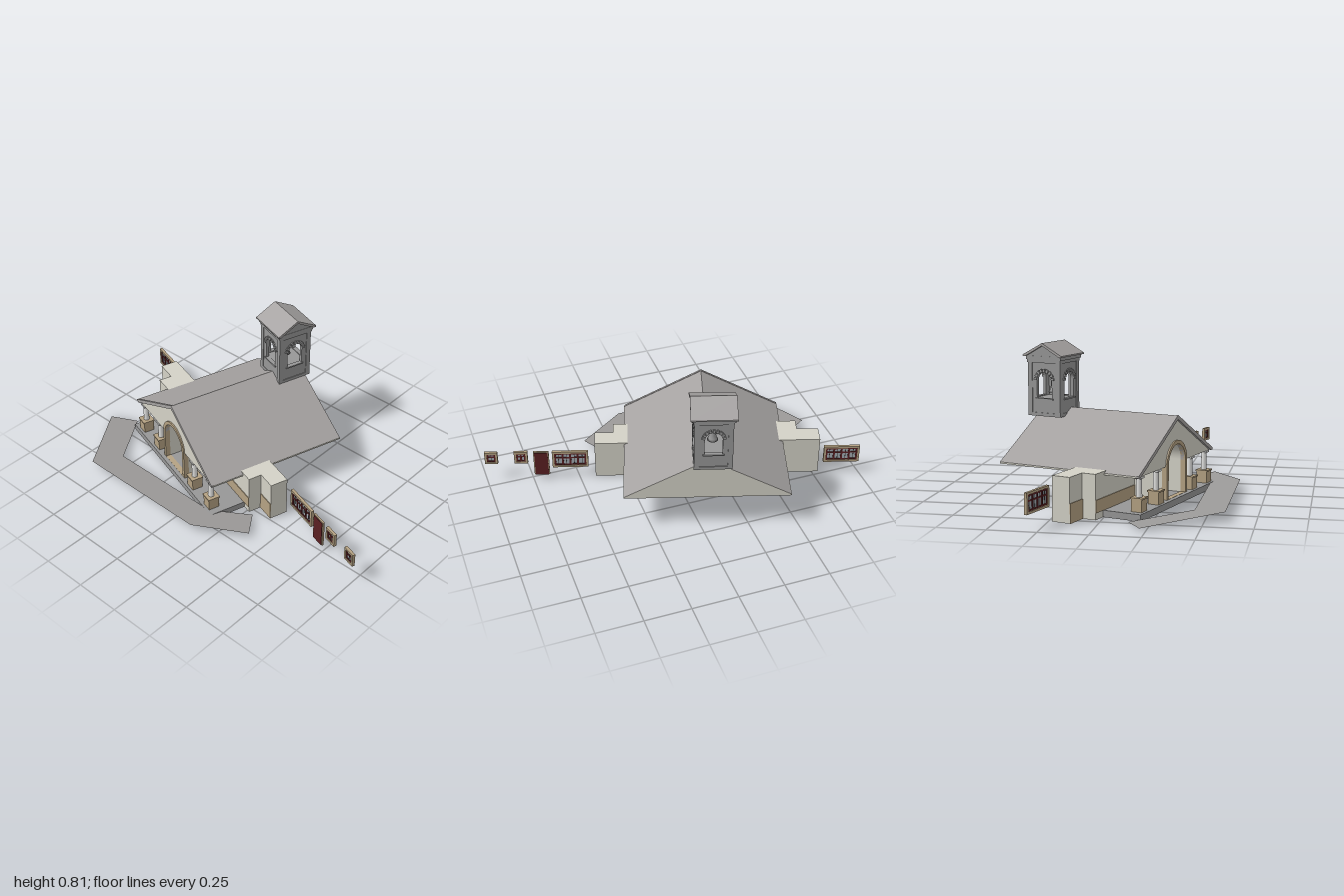
import * as THREE from 'three';

const mat = (name, color, side = THREE.FrontSide) => {
  const m = new THREE.MeshStandardMaterial({ color, side });
  m.name = name;
  return m;
};

export function createModel() {
  const cream = mat('cream plaster', 0xd4d2c7);
  const roofGrey = mat('roof grey', 0xa5a2a1);
  const stone = mat('tower stone', 0x979797);
  const paving = mat('paving grey', 0x9c9a99, THREE.DoubleSide);
  const tan = mat('tan trim', 0xb5a283);
  const white = mat('column white', 0xe4e4e2);
  const maroon = mat('maroon wood', 0x5a2022);
  const glass = mat('window glass', 0xa4acb4);
  const iron = mat('dark iron', 0x3a3836);

  const model = new THREE.Group();
  model.name = 'church';
  // The whole building is turned on the site: local x is depth, local z is width
  const site = new THREE.Group();
  site.name = 'building';
  site.rotation.y = -0.302;
  site.position.set(0.08, 0, -0.15);
  model.add(site);

  const add = (parent, name, geo, material, x = 0, y = 0, z = 0) => {
    const m = new THREE.Mesh(geo, material);
    m.name = name;
    m.position.set(x, y, z);
    parent.add(m);
    return m;
  };
  // Box given by its limits
  const block = (parent, name, material, x0, x1, y0, y1, z0, z1) =>
    add(parent, name, new THREE.BoxGeometry(x1 - x0, y1 - y0, z1 - z0), material,
      (x0 + x1) / 2, (y0 + y1) / 2, (z0 + z1) / 2);
  const poly = pts => new THREE.Shape(pts.map(p => new THREE.Vector2(...p)));
  const extrude = (shape, depth) =>
    new THREE.ExtrudeGeometry(shape, { depth, bevelEnabled: false, curveSegments: 16 });
  // Round-headed opening outline
  const arch = (P, r, base, spring) => {
    const p = new P();
    p.moveTo(-r, base);
    p.lineTo(r, base);
    p.lineTo(r, spring);
    p.absarc(0, spring, r, 0, Math.PI, false);
    p.lineTo(-r, base);
    return p;
  };

  // Wings and main wall
  block(site, 'mainWall', cream, -0.145, -0.045, 0, 0.23, -0.65, 0.605);
  block(site, 'frontWall', cream, -0.22, -0.145, 0, 0.23, -0.53, 0.503);
  block(site, 'frontWainscot', tan, -0.224, -0.22, 0.035, 0.1, -0.53, 0.503);
  block(site, 'wingWainscotNorth', tan, -0.149, -0.145, 0, 0.1, -0.65, -0.53);
  block(site, 'wingWainscotSouth', tan, -0.149, -0.145, 0, 0.1, 0.503, 0.605);

  // Main roof: solid gable behind, vaulted gable over the porch
  const solid = poly([[-0.44, 0.21], [0.44, 0.21], [0.44, 0.219], [0, 0.46], [-0.44, 0.219]]);
  const vaulted = new THREE.Shape();
  vaulted.moveTo(-0.44, 0.21);
  vaulted.lineTo(-0.1, 0.21);
  vaulted.absarc(0, 0.21, 0.1, Math.PI, 0, true);
  vaulted.lineTo(0.44, 0.21);
  vaulted.lineTo(0.44, 0.219);
  vaulted.lineTo(0, 0.46);
  vaulted.lineTo(-0.44, 0.219);
  vaulted.closePath();
  add(site, 'mainRoof', extrude(solid, 0.62).rotateY(Math.PI / 2), [cream, roofGrey], -0.22);
  add(site, 'porchRoof', extrude(vaulted, 0.18).rotateY(Math.PI / 2), [cream, roofGrey], -0.4);
  for (const s of [-1, 1])
    block(site, 'eaveFascia', cream, -0.4, 0.4, 0.21, 0.219, s * 0.441 - 0.001, s * 0.441 + 0.001);

  // Verge boards on the porch gable
  const verge = poly([[-0.44, 0.21], [-0.42, 0.21], [0, 0.44], [0.42, 0.21], [0.44, 0.21],
    [0.44, 0.221], [0, 0.463], [-0.44, 0.221]]);
  add(site, 'porchVerge', extrude(verge, 0.012).rotateY(Math.PI / 2), roofGrey, -0.412);

  // Entrance arch with side walls and door
  const trim = arch(THREE.Shape, 0.12, 0.036, 0.21);
  trim.holes.push(arch(THREE.Path, 0.1, 0.037, 0.21));
  add(site, 'archTrim', extrude(trim, 0.03).rotateY(Math.PI / 2), tan, -0.408);
  for (const s of [-1, 1])
    block(site, 'entranceWall', cream, -0.38, -0.22, 0.035, 0.21, s * 0.11 - 0.01, s * 0.11 + 0.01);
  const vault = new THREE.CylinderGeometry(0.099, 0.099, 0.16, 24, 1, true, 0, Math.PI);
  const lining = cream.clone();
  lining.side = THREE.DoubleSide;
  add(site, 'vaultLining', vault.rotateZ(Math.PI / 2), lining, -0.3, 0.21, 0);
  block(site, 'doorFrame', tan, -0.228, -0.222, 0.035, 0.2, -0.06, 0.06);
  block(site, 'entranceDoor', maroon, -0.232, -0.228, 0.035, 0.19, -0.05, 0.05);

  // Porch floor, pedestals and columns
  block(site, 'porchFloor', stone, -0.43, -0.2, 0, 0.035, -0.455, 0.455);
  for (const z of [-0.385, -0.2, 0.2, 0.385]) {
    block(site, 'pedestal', tan, -0.415, -0.355, 0.035, 0.1, z - 0.03, z + 0.03);
    block(site, 'pedestalCap', tan, -0.419, -0.351, 0.098, 0.106, z - 0.034, z + 0.034);
    add(site, 'column', new THREE.CylinderGeometry(0.014, 0.016, 0.096, 16), white, -0.385, 0.154, z);
    block(site, 'columnCapital', white, -0.405, -0.365, 0.2, 0.21, z - 0.02, z + 0.02);
  }

  // Bell tower
  const tower = new THREE.Group();
  tower.name = 'bellTower';
  tower.position.set(0.326, 0, -0.022);
  site.add(tower);
  const H = 0.096;
  const wall = poly([[-H, 0.42], [H, 0.42], [H, 0.72], [-H, 0.72]]);
  wall.holes.push(arch(THREE.Path, 0.046, 0.515, 0.61));
  for (let i = 0; i < 4; i++) {
    const face = new THREE.Group();
    face.name = 'towerFace';
    face.rotation.y = i * Math.PI / 2;
    tower.add(face);
    add(face, 'towerWall', extrude(wall, 0.018), stone, 0, 0, H - 0.018);
    for (const s of [-1, 1])
      block(face, 'pilaster', stone, s * 0.087 - 0.013, s * 0.087 + 0.013, 0.42, 0.705, H - 0.002, H + 0.004);
    block(face, 'sill', stone, -0.055, 0.055, 0.507, 0.515, H - 0.01, H + 0.006);
    // Arch stones
    for (let k = 0; k < 9; k++) {
      const a = Math.PI * (k + 0.5) / 9;
      const v = add(face, 'archStone', new THREE.BoxGeometry(0.018, 0.014, 0.012), stone,
        Math.cos(a) * 0.054, 0.61 + Math.sin(a) * 0.054, H + 0.001);
      v.rotation.z = a;
    }
  }
  block(tower, 'towerBase', stone, -0.1, 0.1, 0.418, 0.436, -0.1, 0.1);
  block(tower, 'towerFloor', stone, -0.09, 0.09, 0.49, 0.51, -0.09, 0.09);
  block(tower, 'lowerCornice', stone, -0.103, 0.103, 0.705, 0.722, -0.103, 0.103);
  block(tower, 'upperCornice', stone, -0.108, 0.108, 0.722, 0.742, -0.108, 0.108);
  const pediment = poly([[-0.105, 0.742], [0.105, 0.742], [0, 0.802]]);
  add(tower, 'pediment', extrude(pediment, 0.212), stone, 0, 0, -0.106);
  const slab = poly([[-0.12, 0.74], [-0.105, 0.74], [0, 0.799], [0.105, 0.74], [0.12, 0.74],
    [0.12, 0.748], [0, 0.813], [-0.12, 0.748]]);
  add(tower, 'towerRoof', extrude(slab, 0.238), roofGrey, 0, 0, -0.119);

  // Bell on its hanger
  const bell = [[0, 0.61], [0.01, 0.608], [0.015, 0.595], [0.017, 0.57], [0.022, 0.55], [0.029, 0.538], [0, 0.542]]
    .reverse().map(p => new THREE.Vector2(...p));
  add(tower, 'bell', new THREE.LatheGeometry(bell, 20), stone);
  add(tower, 'bellHanger', new THREE.CylinderGeometry(0.004, 0.004, 0.1, 8), iron, 0, 0.655, 0);

  // Freestanding windows and door in line with the wings
  const X = -0.037;
  const windowUnit = (name, z, w, y0, y1, cols, bars) => {
    const g = new THREE.Group();
    g.name = name;
    g.position.set(X, 0, z);
    site.add(g);
    const t = 0.012, h = w / 2;
    for (const s of [-1, 1])
      block(g, 'frameSide', tan, -0.008, 0.008, y0, y1, s * (h - t / 2) - t / 2, s * (h - t / 2) + t / 2);
    block(g, 'frameTop', tan, -0.008, 0.008, y1 - t, y1, -h + t, h - t);
    block(g, 'frameBottom', tan, -0.008, 0.008, y0, y0 + t, -h + t, h - t);
    block(g, 'glass', glass, -0.001, 0.001, y0 + t, y1 - t, -h + t, h - t);
    const inner = w - 2 * t;
    for (let i = 0; i <= cols; i++) {
      const c = (-inner / 2 + 0.004) + (inner - 0.008) * i / cols;
      block(g, 'sashStile', maroon, -0.005, 0.005, y0 + t, y1 - t, c - 0.005, c + 0.005);
    }
    for (const f of [0.06, 0.62, 0.94]) {
      const y = y0 + t + (y1 - y0 - 2 * t) * f;
      block(g, 'sashRail', maroon, -0.004, 0.004, y - 0.004, y + 0.004, -inner / 2, inner / 2);
    }
    for (let i = 1; i < bars; i++) {
      const c = -inner / 2 + inner * i / bars;
      block(g, 'windowBar', iron, -0.003, 0.003, y0 + t, y1 - t, c - 0.0015, c + 0.0015);
    }
  };
  windowUnit('largeWindowNorth', -0.774, 0.2, 0.08, 0.187, 4, 8);
  windowUnit('largeWindowSouth', 0.742, 0.2, 0.08, 0.187, 4, 8);
  windowUnit('smallWindowInner', 1.015, 0.075, 0.113, 0.19, 2, 2);
  windowUnit('smallWindowOuter', 1.18, 0.072, 0.113, 0.19, 1, 2);
  block(site, 'sideDoorFrame', tan, X - 0.005, X + 0.005, 0.03, 0.188, 0.86, 0.946);
  block(site, 'sideDoor', maroon, X - 0.008, X + 0.008, 0.03, 0.182, 0.866, 0.94);

  // Bent approach path, sloping gently along x
  const path = poly([[-0.22, -0.89], [-0.6, -0.63], [-0.6, 0.14], [-0.43, 0.4], [-0.3, 0.31],
    [-0.44, 0.12], [-0.44, -0.55], [-0.14, -0.75]]);
  const geo = new THREE.ShapeGeometry(path).rotateX(Math.PI / 2);
  const p = geo.attributes.position;
  for (let i = 0; i < p.count; i++) p.setY(i, 0.048 - 0.09 * (p.getX(i) + 0.6));
  // Face order turned so the paving normals point up
  const idx = geo.index.array;
  for (let i = 0; i < idx.length; i += 3) [idx[i], idx[i + 1]] = [idx[i + 1], idx[i]];
  geo.computeVertexNormals();
  add(model, 'approachPath', geo, paving);

  return model;
}
